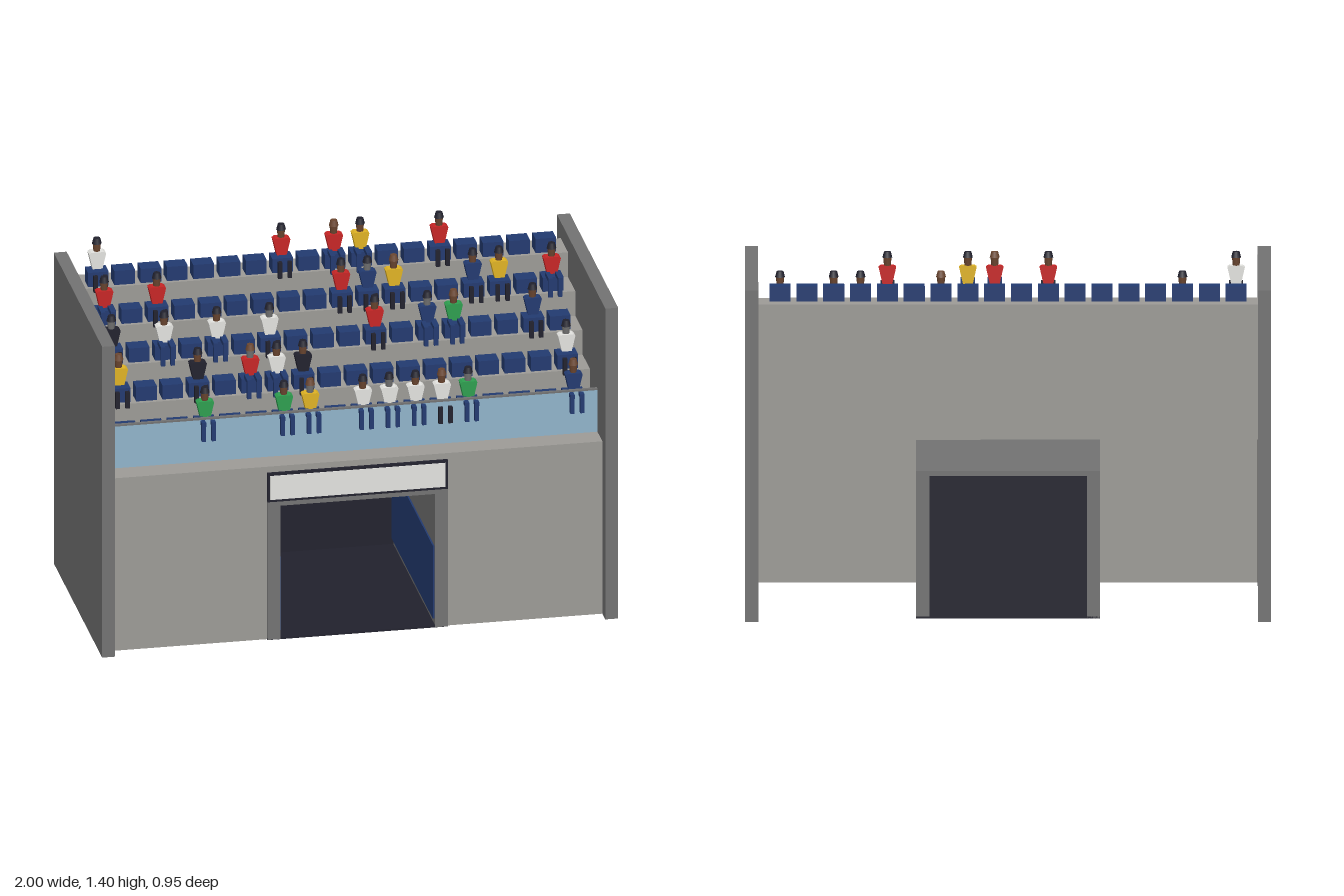
import * as THREE from 'three';

const mat = (name, color) => {
  const m = new THREE.MeshStandardMaterial({ color });
  m.name = name;
  return m;
};

export function createModel() {
  const M = {
    concrete: mat('concrete', 0x9c9a96),
    wall: mat('dark concrete', 0x727272),
    blue: mat('seat blue', 0x223a70),
    dark: mat('near black', 0x21212d),
    white: mat('white', 0xe2e2de),
    red: mat('red', 0xc62525),
    yellow: mat('yellow', 0xdeb224),
    green: mat('green', 0x2e9e4f),
    glass: mat('pale blue barrier', 0x90b3ca),
    brown: mat('brown', 0x6b4630),
  };
  const model = new THREE.Group();
  model.name = 'stadiumStand';

  // box given by its limits on each axis
  const box = (name, m, x0, x1, y0, y1, z0, z1, parent = model) => {
    const mesh = new THREE.Mesh(new THREE.BoxGeometry(x1 - x0, y1 - y0, z1 - z0), m);
    mesh.position.set((x0 + x1) / 2, (y0 + y1) / 2, (z0 + z1) / 2);
    mesh.name = name;
    parent.add(mesh);
    return mesh;
  };
  const put = (name, geo, m, x, y, z, parent) => {
    const mesh = new THREE.Mesh(geo, m);
    mesh.position.set(x, y, z);
    mesh.name = name;
    parent.add(mesh);
    return mesh;
  };

  // side walls
  for (const s of [-1, 1]) {
    const w = box('sideWall', M.wall, 0.95, 1, 0, 1.28, -0.475, 0.475);
    w.position.x *= s;
  }

  // front wall with doorway, and the ledge behind it
  const shape = new THREE.Shape([
    [-0.95, 0], [-0.35, 0], [-0.35, 0.57], [0.35, 0.57], [0.35, 0],
    [0.95, 0], [0.95, 0.71], [-0.95, 0.71],
  ].map(([x, y]) => new THREE.Vector2(x, y)));
  put('frontWall', new THREE.ExtrudeGeometry(shape, { depth: 0.05, bevelEnabled: false }),
    M.concrete, 0, 0, 0.367, model);
  box('ledge', M.concrete, -0.95, 0.95, 0.69, 0.71, 0.315, 0.367);

  // stepped terrace
  const ROWS = 5, DEPTH = 0.143, RISE = 0.1015, FRONT = 0.315;
  const tread = (r) => 0.807 + r * RISE;
  for (let r = 0; r < ROWS; r++) {
    const z1 = FRONT - r * DEPTH;
    box('terraceStep', M.concrete, -0.95, 0.95, 0.69, tread(r), z1 - DEPTH, z1);
  }

  // barrier along the front row
  box('barrierPanel', M.glass, -0.95, 0.95, 0.71, 0.882, 0.311, 0.32);
  box('barrierRail', M.wall, -0.95, 0.95, 0.882, 0.889, 0.309, 0.321);

  // tunnel through the stand
  const tunnel = new THREE.Group();
  tunnel.name = 'tunnel';
  model.add(tunnel);
  box('tunnelFloor', M.dark, -0.35, 0.35, 0, 0.008, -0.405, 0.427, tunnel);
  box('tunnelRoof', M.wall, -0.35, 0.35, 0.55, 0.57, -0.405, 0.428, tunnel);
  box('tunnelBack', M.dark, -0.3, 0.3, 0.004, 0.55, -0.412, -0.395, tunnel);
  box('ceilingLight', M.white, -0.07, 0.07, 0.543, 0.55, -0.2, 0.2, tunnel);
  for (const s of [-1, 1]) {
    const side = box('tunnelWall', M.wall, 0.3, 0.35, 0.001, 0.55, -0.405, 0.428, tunnel);
    const band = box('tunnelBand', M.blue, 0.294, 0.3, 0.03, 0.33, -0.395, 0.41, tunnel);
    side.position.x *= s;
    band.position.x *= s;
  }

  // blank board above the doorway
  box('boardFrame', M.dark, -0.35, 0.35, 0.568, 0.686, 0.417, 0.429);
  box('boardPanel', M.white, -0.34, 0.34, 0.578, 0.676, 0.429, 0.432);

  // shared seat and spectator shapes, measured from the tread
  const seatGeo = new THREE.BoxGeometry(0.08, 0.058, 0.065);
  const torsoShape = new THREE.Shape([
    [-0.019, 0.066], [0.019, 0.066], [0.033, 0.128], [0.024, 0.134], [-0.024, 0.134], [-0.033, 0.128],
  ].map(([x, y]) => new THREE.Vector2(x, y)));
  const torsoGeo = new THREE.ExtrudeGeometry(torsoShape, { depth: 0.038, bevelEnabled: false });
  torsoGeo.translate(0, 0, -0.019);
  const faceGeo = new THREE.CylinderGeometry(0.016, 0.013, 0.032, 8);
  const hairGeo = new THREE.CylinderGeometry(0.013, 0.019, 0.023, 8);
  const thighGeo = new THREE.BoxGeometry(0.017, 0.016, 0.068);
  const shinGeo = new THREE.BoxGeometry(0.016, 0.066, 0.016);

  // shirt letters; a capital means dark lower legs only
  const shirts = { w: M.white, r: M.red, y: M.yellow, g: M.green, n: M.blue, k: M.dark };
  const crowd = [
    '...g..gy.wwwWg...n',
    'Y..K.rwK.........W',
    'K.w.w.W...R.ng..N.',
    'r.R......RNY..NY.r',
    'W......R.ry..R....',
  ];

  const addSpectator = (letter, x, y, z, n) => {
    const p = new THREE.Group();
    p.name = 'spectator';
    p.position.set(x, y, z);
    const blueLegs = letter === letter.toLowerCase();
    put('shirt', torsoGeo, shirts[letter.toLowerCase()], 0, 0, 0, p);
    put('face', faceGeo, n % 3 === 1 ? M.wall : M.brown, 0, 0.15, 0, p);
    put('hair', hairGeo, n % 5 === 2 ? M.brown : M.dark, 0, 0.176, 0, p);
    for (const s of [-1, 1]) {
      put('lowerLeg', shinGeo, blueLegs ? M.blue : M.dark, s * 0.019, 0.029, 0.076, p);
      if (blueLegs) put('thigh', thighGeo, M.blue, s * 0.019, 0.066, 0.05, p);
    }
    model.add(p);
  };

  // rows of seats and the crowd in them
  crowd.forEach((row, r) => {
    const y = tread(r), z = 0.265 - r * 0.1425;
    [...row].forEach((letter, i) => {
      const x = -0.867 + i * 0.102;
      put('seat', seatGeo, M.blue, x, y + 0.029, z, model);
      if (letter !== '.') addSpectator(letter, x, y, z, i + r * 2);
    });
  });

  return model;
}
